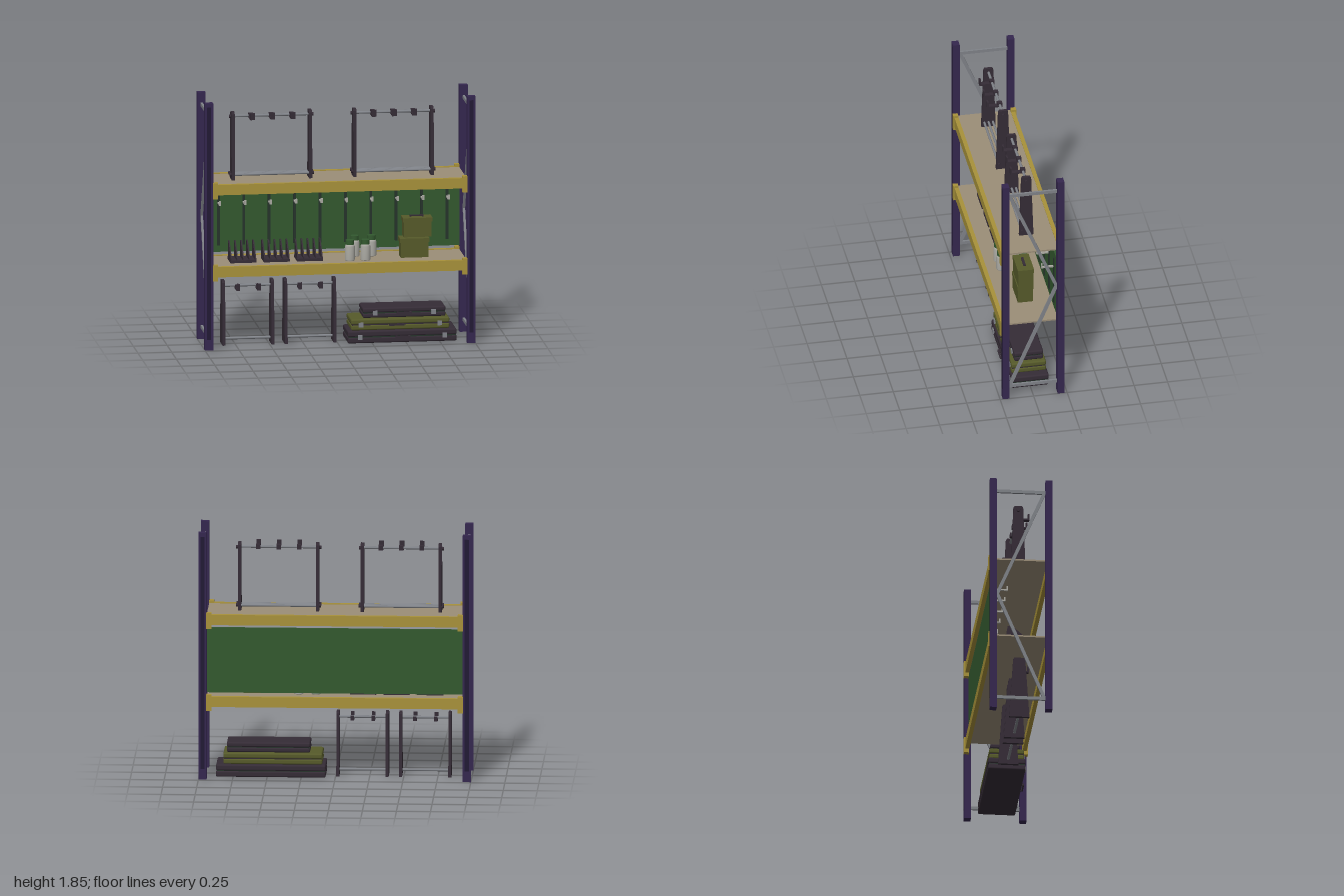
import * as THREE from 'three';
import { RoundedBoxGeometry } from 'three/addons/geometries/RoundedBoxGeometry.js';

const mat = (name, color) => {
  const m = new THREE.MeshStandardMaterial({ color });
  m.name = name;
  return m;
};

export function createModel() {
  const root = new THREE.Group();
  root.name = 'storageRack';
  const purple = mat('uprightPurple', 0x35274f);
  const slotDark = mat('slotDark', 0x221a34);
  const yellow = mat('beamYellow', 0xa8923a);
  const tan = mat('deckTan', 0x9b8e78);
  const green = mat('panelGreen', 0x33592f);
  const strip = mat('stripDark', 0x26332b);
  const dark = mat('rackDark', 0x352c36);
  const olive = mat('caseOlive', 0x565a2a);
  const steel = mat('steelGrey', 0x7f8288);
  const pale = mat('jarGrey', 0xaaa9a2);

  const add = (parent, name, geo, m, x = 0, y = 0, z = 0) => {
    const mesh = new THREE.Mesh(geo, m);
    mesh.name = name;
    mesh.position.set(x, y, z);
    parent.add(mesh);
    return mesh;
  };
  // box given by its extents on each axis
  const box = (parent, name, m, x0, x1, y0, y1, z0, z1) =>
    add(parent, name, new THREE.BoxGeometry(x1 - x0, y1 - y0, z1 - z0), m,
      (x0 + x1) / 2, (y0 + y1) / 2, (z0 + z1) / 2);
  const group = (name, x = 0, y = 0, z = 0) => {
    const g = new THREE.Group();
    g.name = name;
    g.position.set(x, y, z);
    root.add(g);
    return g;
  };
  // bar along x
  const rail = (parent, name, m, x0, x1, y, z, r) => {
    const mesh = add(parent, name, new THREE.CylinderGeometry(r, r, x1 - x0, 10), m, (x0 + x1) / 2, y, z);
    mesh.rotation.z = Math.PI / 2;
    return mesh;
  };
  // plate in the z-y plane, centred on x; points are [z, y]
  const sidePlate = (parent, name, m, pts, t, x, y = 0) => {
    const shape = new THREE.Shape(pts.map(([z, py]) => new THREE.Vector2(-z, py)));
    const geo = new THREE.ExtrudeGeometry(shape, { depth: t, bevelEnabled: false });
    geo.translate(0, 0, -t / 2).rotateY(Math.PI / 2);
    return add(parent, name, geo, m, x, y, 0);
  };

  // end frames: posts, horizontal bars and diagonal braces
  for (const s of [-1, 1]) {
    const frame = group(s < 0 ? 'rightFrame' : 'leftFrame');
    for (const f of [-1, 1]) {
      add(frame, 'upright', new THREE.BoxGeometry(0.06, 1.85, 0.05), purple, s * 0.97, 0.925, f * 0.205);
      add(frame, 'uprightSlot', new THREE.BoxGeometry(0.03, 1.74, 0.002), slotDark, s * 0.97, 0.95, f * 0.23);
    }
    const brace = (z0, y0, z1, y1) => {
      const len = Math.hypot(z1 - z0, y1 - y0);
      const b = add(frame, 'brace', new THREE.BoxGeometry(0.016, 0.024, len), steel,
        s * 0.97, (y0 + y1) / 2, (z0 + z1) / 2);
      b.rotation.x = -Math.atan2(y1 - y0, z1 - z0);
    };
    brace(-0.18, 1.76, 0.18, 1.76);
    brace(-0.18, 0.095, 0.18, 0.095);
    brace(-0.175, 0.93, 0.17, 1.75);
    brace(-0.175, 0.93, 0.17, 0.105);
  }

  // shelves: deck, beams and end brackets
  for (const y of [0.545, 1.16]) {
    const shelf = group('shelf', 0, y);
    box(shelf, 'deck', tan, -0.94, 0.94, 0.06, 0.072, -0.2, 0.2);
    for (const f of [-1, 1]) {
      add(shelf, 'beam', new THREE.BoxGeometry(1.88, 0.077, 0.03), yellow, 0, 0.0385, f * 0.211);
      for (const s of [-1, 1])
        add(shelf, 'beamBracket', new THREE.BoxGeometry(0.038, 0.122, 0.038), yellow, s * 0.923, 0.032, f * 0.216);
    }
  }

  // back panel with slotted strips and hooks
  const panel = group('backPanel');
  box(panel, 'panel', green, -0.938, 0.938, 0.65, 1.137, -0.2, -0.184);
  for (let i = 0; i < 10; i++) {
    const x = -0.846 + i * 0.188;
    box(panel, 'strip', strip, x - 0.01, x + 0.01, 0.7, 1.09, -0.184, -0.176);
    box(panel, 'hookArm', pale, x - 0.008, x + 0.008, 1.015, 1.026, -0.176, -0.085);
    box(panel, 'hookTip', pale, x - 0.008, x + 0.008, 1.026, 1.05, -0.095, -0.085);
  }

  // hook cradle opening toward the front
  const cradle = (parent, x, y, w, reach) => {
    box(parent, 'hookBlock', dark, x - w / 2, x + w / 2, y - 0.016, y + 0.018, -0.018, 0.018);
    box(parent, 'hookBase', dark, x - w / 2, x + w / 2, y - 0.016, y - 0.004, 0.018, reach);
    box(parent, 'hookLip', dark, x - w / 2, x + w / 2, y - 0.004, y + 0.034, reach - 0.012, reach);
  };

  // tall racks on the upper shelf
  for (const cx of [-0.48, 0.42]) {
    const r = group('tallRack', cx, 1.232);
    for (const s of [-1, 1]) {
      sidePlate(r, 'post', dark, [[-0.053, 0], [0.053, 0], [0.036, 0.49], [0.028, 0.505], [-0.028, 0.505], [-0.036, 0.49]], 0.024, s * 0.286);
      for (const [y, z] of [[0.47, 0], [0.04, -0.03], [0.04, 0.03]])
        rail(r, 'endCap', dark, s * 0.3 - 0.012, s * 0.3 + 0.012, y, z, 0.013);
    }
    rail(r, 'topRail', steel, -0.28, 0.28, 0.472, 0, 0.01);
    for (const z of [-0.032, 0, 0.032]) rail(r, 'lowerRail', steel, -0.28, 0.28, 0.038, z, 0.009);
    for (const x of [-0.15, 0, 0.15]) cradle(r, x, 0.472, 0.034, 0.095);
  }

  // short racks on the floor
  for (const cx of [-0.657, -0.197]) {
    const r = group('shortRack', cx);
    for (const s of [-1, 1])
      sidePlate(r, 'post', dark, [[-0.075, 0], [0.075, 0], [0.044, 0.465], [0.036, 0.477], [-0.036, 0.477], [-0.044, 0.465]], 0.022, s * 0.181);
    rail(r, 'topRail', steel, -0.175, 0.175, 0.435, 0, 0.01);
    rail(r, 'lowerRail', steel, -0.175, 0.175, 0.04, 0, 0.01);
    for (const x of [-0.077, 0.077]) cradle(r, x, 0.424, 0.026, 0.08);
  }

  // stacked cases: [x0, x1, y0, y1, z0, z1, body, trim, handle x, latch inset]
  const cases = [
    [0.07, 0.875, 0, 0.095, -0.138, 0.138, dark, strip, 0.475, 0.09],
    [0.095, 0.822, 0.095, 0.181, -0.128, 0.13, olive, dark, 0.43, 0.072],
    [0.185, 0.797, 0.181, 0.258, -0.112, 0.105, dark, strip, 0.49, 0.09],
  ];
  for (const [x0, x1, y0, y1, z0, z1, body, trim, hx, inset] of cases) {
    const c = group('case');
    const ym = (y0 + y1) / 2, w = x1 - x0, d = z1 - z0, h = y1 - y0;
    for (const [name, y] of [['caseBase', y0 + h / 4], ['caseLid', y1 - h / 4]])
      add(c, name, new RoundedBoxGeometry(w, h / 2 - 0.003, d, 2, 0.012), body, (x0 + x1) / 2, y, (z0 + z1) / 2);
    box(c, 'seam', trim, x0 + 0.006, x1 - 0.006, ym - 0.006, ym + 0.006, z0 + 0.006, z1 - 0.004);
    for (const x of [x0 + inset, x1 - inset])
      box(c, 'latch', steel, x - 0.017, x + 0.017, ym - 0.017, ym + 0.017, z1 - 0.004, z1 + 0.008);
    box(c, 'handle', dark, hx - 0.055, hx + 0.055, ym - 0.008, ym + 0.006, z1 + 0.012, z1 + 0.022);
    for (const s of [-1, 1])
      box(c, 'handleMount', dark, hx + s * 0.048 - 0.007, hx + s * 0.048 + 0.007, ym - 0.008, ym + 0.006, z1 - 0.004, z1 + 0.012);
  }

  // divider trays on the lower shelf
  for (const cx of [-0.695, -0.448, -0.203]) {
    const t = group('dividerTray', cx, 0.617);
    box(t, 'trayBase', dark, -0.096, 0.096, 0, 0.02, -0.08, 0.08);
    for (let i = 0; i < 5; i++)
      sidePlate(t, 'divider', dark, [[-0.08, 0.01], [0.08, 0.01], [0.075, 0.035], [-0.045, 0.14], [-0.08, 0.14]], 0.009, -0.09 + i * 0.045);
  }

  // jars
  for (const [x, z] of [[0.09, 0.09], [0.205, 0.09], [0.145, -0.06], [0.27, -0.06]]) {
    const j = group('jar', x, 0.617, z);
    const pts = [[0, 0], [0.034, 0], [0.037, 0.005], [0.037, 0.105], [0.028, 0.12], [0, 0.12]];
    add(j, 'jarBody', new THREE.LatheGeometry(pts.map((p) => new THREE.Vector2(...p)), 16), pale);
    add(j, 'jarLid', new THREE.CylinderGeometry(0.031, 0.031, 0.034, 16), green, 0, 0.137, 0);
  }

  // ammunition-style storage boxes, stacked with a slight offset
  for (const [x, y] of [[0.575, 0.617], [0.597, 0.77]]) {
    const b = group('storageBox', x, y);
    box(b, 'boxBody', olive, -0.102, 0.102, 0, 0.115, -0.056, 0.056);
    box(b, 'boxLid', olive, -0.109, 0.109, 0.112, 0.143, -0.06, 0.06);
    box(b, 'boxHandle', dark, -0.05, 0.05, 0.147, 0.156, -0.009, 0.009);
    for (const s of [-1, 1])
      box(b, 'handleFoot', dark, s * 0.045 - 0.005, s * 0.045 + 0.005, 0.143, 0.147, -0.009, 0.009);
  }
  return root;
}
